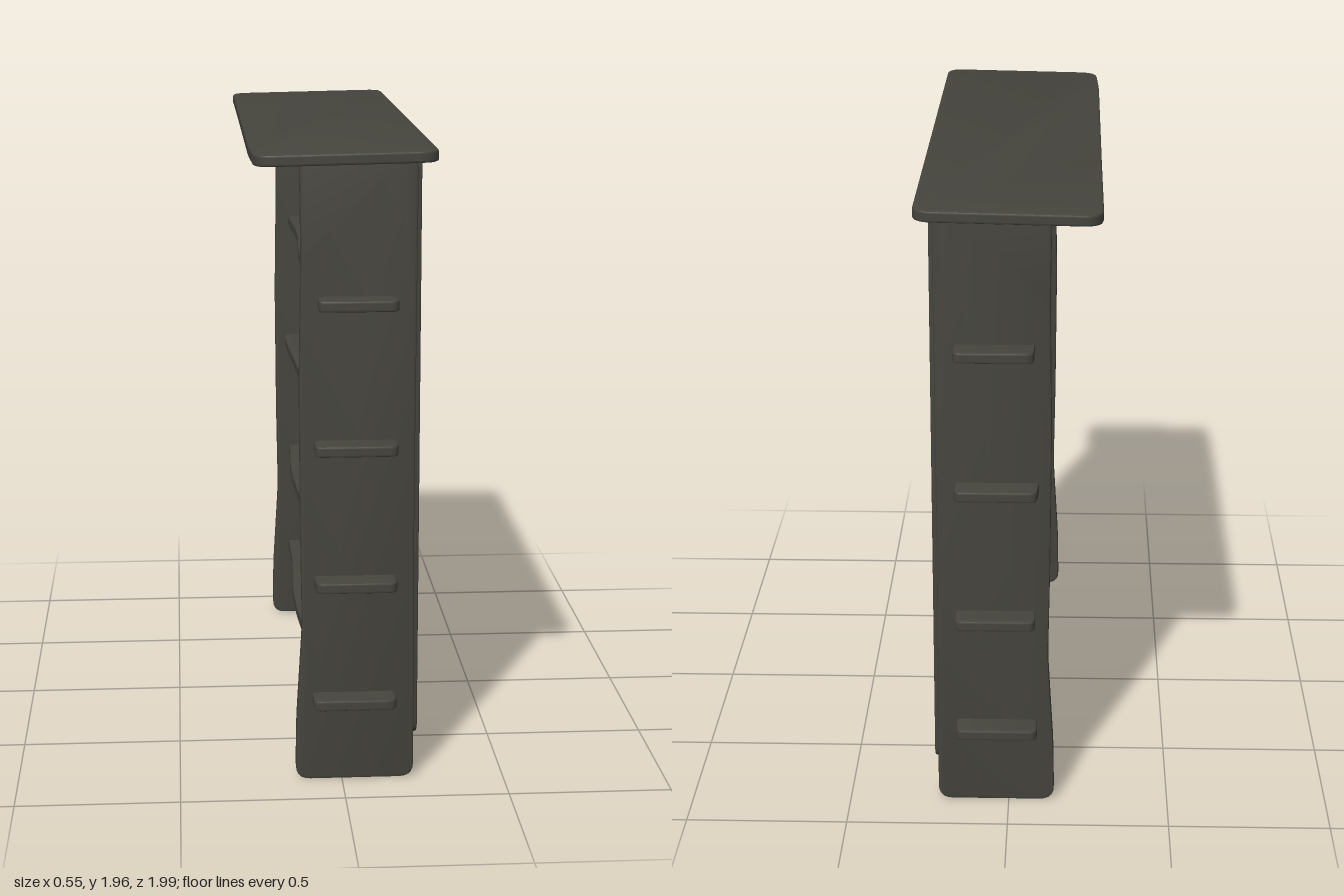
import * as THREE from 'three';
import { toCreasedNormals } from 'three/addons/utils/BufferGeometryUtils.js';

const wood = new THREE.MeshStandardMaterial({ color: 0x45443d });
wood.name = 'dark wood';

// Outline through the given points, every corner softened by up to r
function softOutline(points, r) {
  const p = points.map(([x, y]) => new THREE.Vector2(x, y));
  const shape = new THREE.Shape();
  p.forEach((c, i) => {
    const a = p[(i + p.length - 1) % p.length], b = p[(i + 1) % p.length];
    const s = c.clone().lerp(a, Math.min(0.45, r / c.distanceTo(a)));
    const e = c.clone().lerp(b, Math.min(0.45, r / c.distanceTo(b)));
    if (i === 0) shape.moveTo(s.x, s.y); else shape.lineTo(s.x, s.y);
    shape.quadraticCurveTo(c.x, c.y, e.x, e.y);
  });
  shape.closePath();
  return shape;
}

// Board of a given thickness, centred on its depth, with worn edges
function boardGeometry(points, thickness, r = 0.045, bevel = 0.007) {
  const geo = new THREE.ExtrudeGeometry(softOutline(points, r), {
    depth: thickness - 2 * bevel, bevelEnabled: true, bevelThickness: bevel,
    bevelSize: bevel, bevelOffset: -bevel, bevelSegments: 2, curveSegments: 5,
  });
  geo.translate(0, 0, -thickness / 2 + bevel);
  return toCreasedNormals(geo, 0.6);
}

function add(group, name, geo, x, y, z) {
  const mesh = new THREE.Mesh(geo, wood);
  mesh.name = name;
  mesh.position.set(x, y, z);
  group.add(mesh);
  return mesh;
}

export function createModel() {
  const group = new THREE.Group();
  group.name = 'bookcase';

  // Side panels with an uneven open edge and a wider foot
  const sideOutline = [
    [-0.143, 0.005], [0.222, 0.005], [0.218, 0.9], [0.222, 1.94], [-0.128, 1.94],
    [-0.124, 1.65], [-0.13, 1.25], [-0.127, 0.8], [-0.122, 0.5], [-0.14, 0.2],
  ];
  for (const s of [1, -1]) {
    add(group, s > 0 ? 'frontSidePanel' : 'backSidePanel', boardGeometry(sideOutline, 0.042), 0, 0, s * 0.825);
  }

  // Top board, tilted very slightly
  const topGeo = boardGeometry([
    [-0.266, -0.99], [0.27, -0.99], [0.27, 0.998], [-0.275, 0.998], [-0.274, 0.3], [-0.274, -0.75],
  ], 0.034, 0.06);
  topGeo.rotateX(-Math.PI / 2);
  const top = add(group, 'topBoard', topGeo, 0, 1.944, 0);
  top.rotation.z = 0.02;

  // Shelves whose ends pass through the side panels
  [[0.272, -0.09], [0.645, -0.083], [1.068, -0.088], [1.505, -0.078]].forEach(([y, edge], i) => {
    const outline = [[0.162, -0.927], [0.162, 0.927]];
    for (let k = 0; k <= 10; k++) {
      const z = 0.927 - k * 0.1854;
      const wave = k === 0 || k === 10 ? 0 : 0.009 * Math.sin(k * 1.1 + i * 1.7);
      outline.push([edge + wave, z]);
    }
    const geo = boardGeometry(outline, 0.034, 0.025);
    geo.rotateX(-Math.PI / 2);
    add(group, 'shelf' + (i + 1), geo, 0, y, 0);
  });

  // Wide vertical planks closing one long face: [z start, z end, bottom, bottom, outer x]
  const planks = [
    [0.83, 0.499, 0.138, 0.138, 0.234],
    [0.495, 0.166, 0.104, 0.116, 0.238],
    [0.168, -0.157, 0.137, 0.139, 0.23],
    [-0.161, -0.486, 0.124, 0.117, 0.238],
    [-0.49, -0.828, 0.142, 0.137, 0.233],
  ];
  planks.forEach(([z0, z1, b0, b1, outer], i) => {
    const w = 0.003 * (i % 2 ? 1 : -1);
    const thickness = outer - 0.17;
    const geo = boardGeometry([
      [-z0, b0], [-z1, b1], [-z1 + w * 0.5, 1.0], [-z1, 1.935], [-z0, 1.935], [-z0 + w * 0.5, 1.0],
    ], thickness, 0.04);
    geo.rotateY(Math.PI / 2);
    add(group, 'plank' + (i + 1), geo, outer - thickness / 2, 0, 0);
  });

  return group;
}
